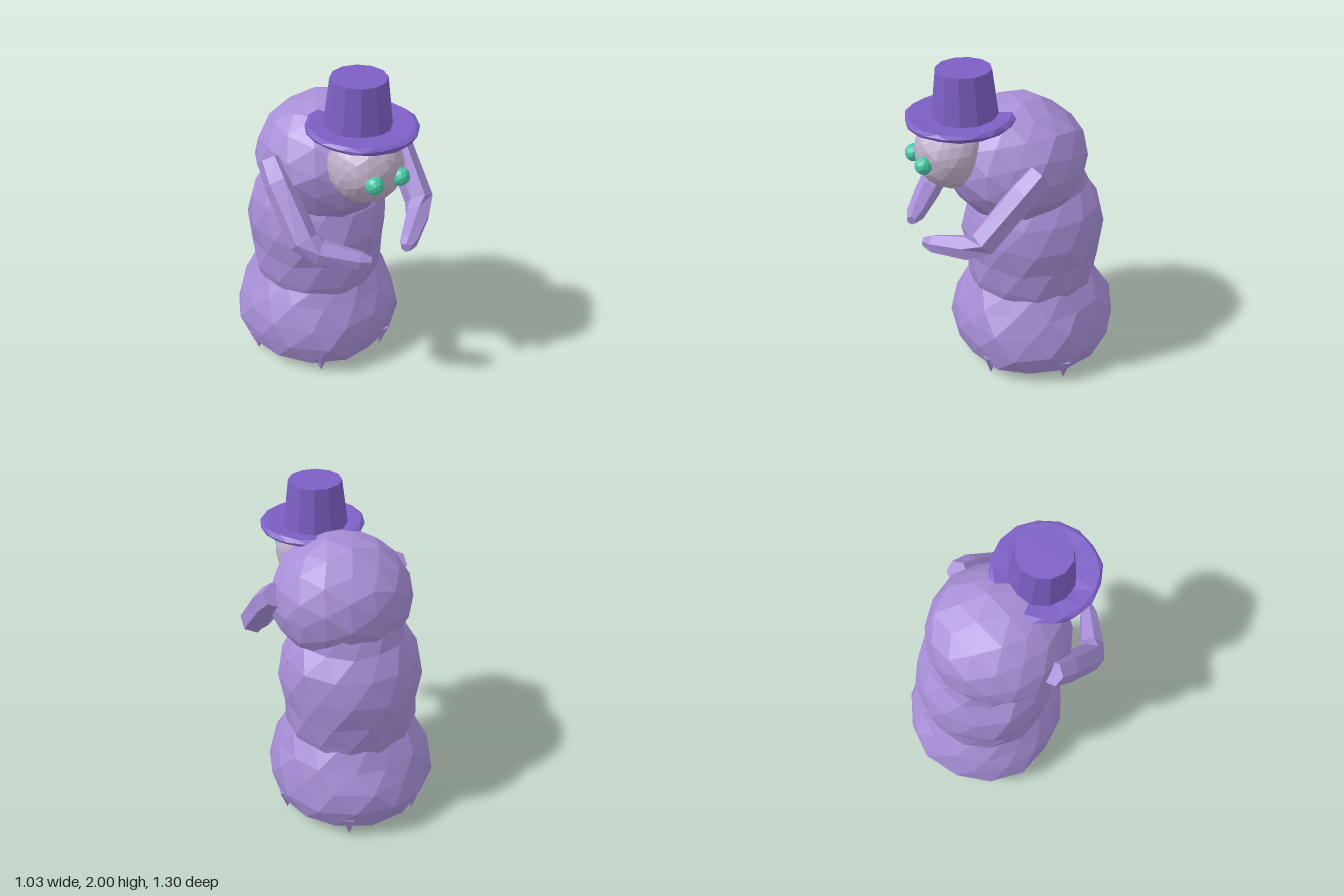
import * as THREE from 'three';

const mat = (name, color) => {
  const m = new THREE.MeshStandardMaterial({ color, flatShading: true });
  m.name = name;
  return m;
};

// Repeatable noise in -1..1 from a position, so that shared corners stay together
function noise(x, y, z, k) {
  const q = (v) => Math.round(v * 1000 + 0.123);
  const s = Math.sin(q(x) * 12.9898 + q(y) * 78.233 + q(z) * 37.719 + k * 11.3) * 43758.5453;
  return (s - Math.floor(s)) * 2 - 1;
}

// Facet a surface irregularly; corners on the flat underside only slide sideways
function roughen(geo, amount, floor = -Infinity) {
  const p = geo.attributes.position;
  for (let i = 0; i < p.count; i++) {
    const x = p.getX(i), y = p.getY(i), z = p.getZ(i);
    const dy = y > floor + 0.01 ? noise(x, y, z, 2) * amount : 0;
    p.setXYZ(i, x + noise(x, y, z, 1) * amount, y + dy, z + noise(x, y, z, 3) * amount);
  }
  geo.computeVertexNormals();
  return geo;
}

// Lathed body section whose alternate rows are turned by half a facet
function section(profile, sides, amount, floor) {
  const geo = new THREE.LatheGeometry(profile.map(([r, y]) => new THREE.Vector2(r, y)), sides);
  const p = geo.attributes.position;
  for (let i = 0; i < p.count; i++) {
    const a = (i % profile.length) * Math.PI / sides;
    const x = p.getX(i), z = p.getZ(i);
    p.setX(i, x * Math.cos(a) + z * Math.sin(a));
    p.setZ(i, z * Math.cos(a) - x * Math.sin(a));
  }
  return roughen(geo, amount, floor);
}

// Tapered six-sided limb through points [x, y, z, radius]
function limb(points) {
  const n = points.length - 1;
  const geo = new THREE.CylinderGeometry(1, 1, 1, 6, n).rotateX(Math.PI / 2);
  const at = (i) => new THREE.Vector3(...points[Math.min(n, Math.max(0, i))].slice(0, 3));
  const p = geo.attributes.position, v = new THREE.Vector3(), turn = new THREE.Quaternion();
  const forward = new THREE.Vector3(0, 0, 1);
  for (let k = 0; k < p.count; k++) {
    const i = Math.round((p.getZ(k) + 0.5) * n);
    turn.setFromUnitVectors(forward, at(i + 1).sub(at(i - 1)).normalize());
    v.set(p.getX(k), p.getY(k), 0).multiplyScalar(points[i][3]).applyQuaternion(turn).add(at(i));
    p.setXYZ(k, v.x, v.y, v.z);
  }
  geo.computeVertexNormals();
  return geo;
}

export function createModel() {
  const model = new THREE.Group();
  const lilac = mat('lilac skin', 0xa68ed6);
  const violet = mat('violet hat', 0x7c5fc4);
  const pale = mat('pale face', 0xbfafc9);
  const teal = mat('teal eyes', 0x48c9a8);

  const add = (name, geo, material, x = 0, y = 0, z = 0) => {
    const mesh = new THREE.Mesh(geo, material);
    mesh.name = name;
    mesh.position.set(x, y, z);
    model.add(mesh);
    return mesh;
  };

  // Stacked body sections
  add('lowerBody', section([[0, 0.09], [0.49, 0.09], [0.525, 0.22], [0.505, 0.36],
    [0.45, 0.48], [0.38, 0.6], [0.2, 0.64], [0, 0.64]], 14, 0.016, 0.09), lilac, 0, 0, -0.125);
  add('middleBody', section([[0.36, 0.45], [0.405, 0.62], [0.415, 0.78], [0.435, 0.94],
    [0.4, 1.1], [0.33, 1.22], [0.29, 1.34], [0, 1.4]], 13, 0.012), lilac, 0, 0, -0.12);
  const upper = new THREE.IcosahedronGeometry(1, 2).scale(0.42, 0.375, 0.42);
  add('upperBody', roughen(upper, 0.01), lilac, 0, 1.4, -0.01);

  // Six small claws around the base
  for (let i = 0; i < 6; i++) {
    const a = i * Math.PI / 3;
    const claw = new THREE.ConeGeometry(0.055, 0.15, 5).rotateX(Math.PI);
    add('claw', claw, lilac, Math.cos(a) * 0.46, 0.08, -0.125 + Math.sin(a) * 0.46);
  }

  // Arms bend at the elbow and reach inward to the front
  for (const s of [1, -1]) {
    add(s > 0 ? 'leftArm' : 'rightArm', limb([
      [s * 0.4, 1.49, 0.03, 0.075], [s * 0.41, 1.4, 0.13, 0.085], [s * 0.4, 1.14, 0.37, 0.085],
      [s * 0.34, 1.09, 0.44, 0.075], [s * 0.17, 1.05, 0.58, 0.055], [s * 0.12, 1.045, 0.62, 0.03],
    ]), lilac);
  }

  // Face and eyes
  add('head', roughen(new THREE.IcosahedronGeometry(0.215, 3), 0.004), pale, -0.01, 1.52, 0.385);
  for (const x of [-0.09, 0.08]) {
    add('eye', new THREE.IcosahedronGeometry(0.052, 1), teal, x, 1.51, 0.583);
  }

  // Hat: dished brim with a tapered crown
  const brim = [[0, 1.715], [0.26, 1.7], [0.3, 1.71], [0.31, 1.73], [0.29, 1.745], [0.17, 1.735], [0, 1.735]];
  add('hatBrim', section(brim, 16, 0.005), violet, 0, 0, 0.33);
  const crown = new THREE.CylinderGeometry(0.155, 0.19, 0.28, 12);
  add('hatCrown', crown, violet, -0.005, 1.86, 0.3);

  return model;
}
